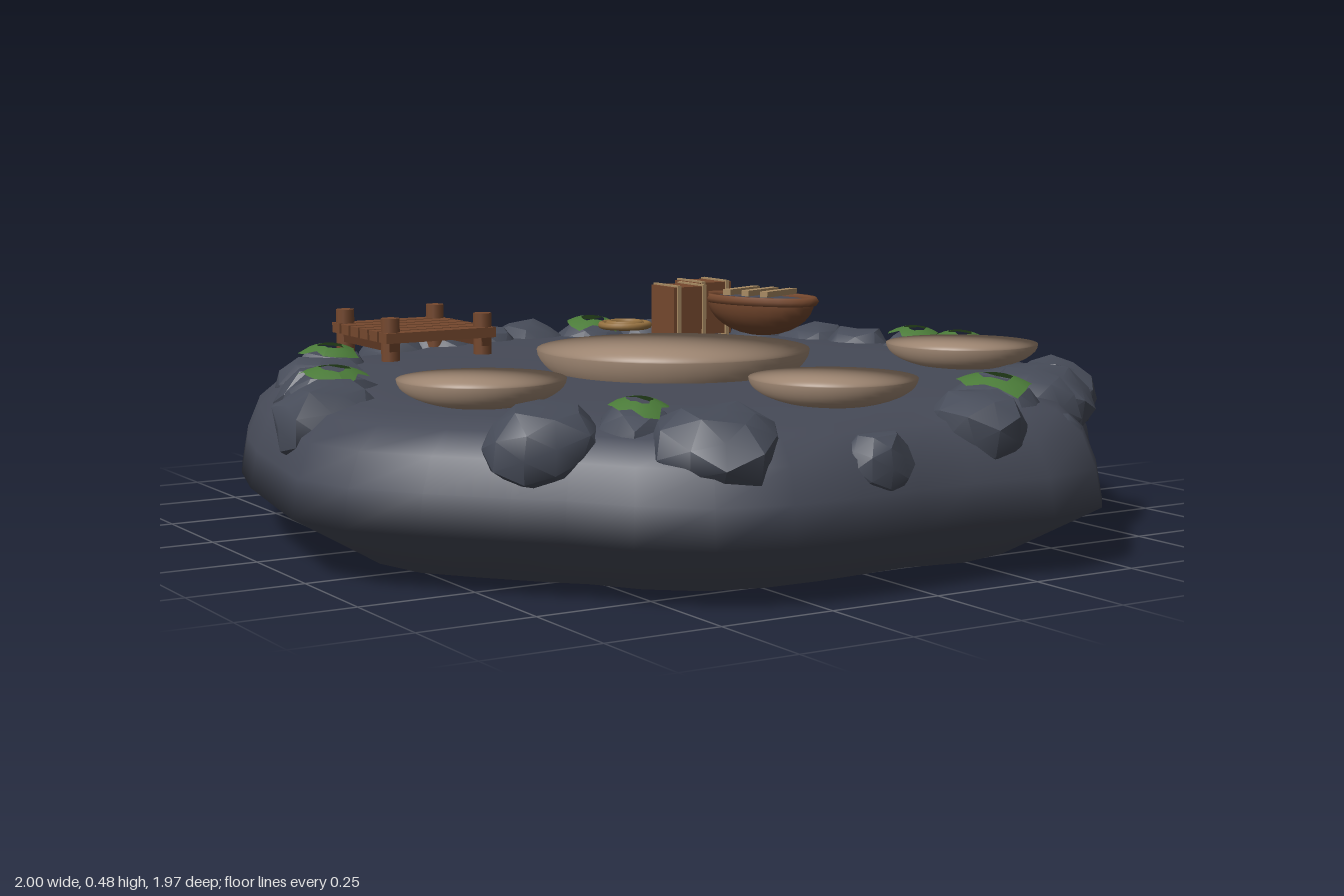
import * as THREE from 'three';
import { mergeVertices, toCreasedNormals } from 'three/addons/utils/BufferGeometryUtils.js';

const mat = (name, color, side = THREE.FrontSide) => {
  const m = new THREE.MeshStandardMaterial({ color, side });
  m.name = name;
  return m;
};

// Island outline as x, z pairs, clockwise from the back
const OUTLINE = [
  0, -0.99, 0.16, -0.94, 0.36, -0.85, 0.53, -0.76, 0.7, -0.71, 0.84, -0.58, 0.88, -0.4, 0.92, -0.18,
  0.98, 0, 1, 0.17, 0.95, 0.33, 0.86, 0.47, 0.74, 0.6, 0.62, 0.74, 0.55, 0.85, 0.47, 0.94,
  0.31, 0.98, 0.14, 0.95, 0, 0.96, -0.15, 0.97, -0.31, 0.965, -0.46, 0.92, -0.58, 0.82, -0.66, 0.7,
  -0.74, 0.62, -0.86, 0.48, -0.96, 0.35, -1, 0.19, -0.97, 0.02, -0.93, -0.2, -0.87, -0.4, -0.8, -0.57,
  -0.71, -0.69, -0.56, -0.76, -0.4, -0.79, -0.28, -0.88, -0.14, -0.96,
];

// Rim boulders: x, z, radius, mossy
const ROCKS = [
  [-0.2, -0.76, 0.1, 1], [-0.06, -0.79, 0.1, 0], [0.08, -0.81, 0.11, 0], [0.23, -0.75, 0.1, 1],
  [0.38, -0.74, 0.1, 0], [0.49, -0.64, 0.09, 0], [0.61, -0.53, 0.1, 1], [0.69, -0.4, 0.1, 0],
  [0.72, -0.27, 0.09, 0], [0.79, -0.12, 0.09, 1], [0.82, 0.02, 0.09, 1], [0.71, 0.49, 0.09, 0],
  [0.6, 0.56, 0.12, 0], [0.5, 0.66, 0.1, 0], [0.35, 0.73, 0.11, 1], [0.22, 0.84, 0.1, 0],
  [-0.37, 0.78, 0.13, 0], [-0.47, 0.65, 0.09, 1], [-0.63, 0.57, 0.12, 0], [-0.85, 0.04, 0.11, 0],
  [-0.77, -0.12, 0.1, 1], [-0.74, -0.25, 0.09, 0], [-0.68, -0.39, 0.1, 0], [-0.6, -0.52, 0.09, 1],
  [-0.31, -0.79, 0.09, 0],
];

// Stack of scaled outlines; each level is [y, scale]
function islandGeometry(levels) {
  const n = OUTLINE.length / 2, pos = [], idx = [];
  for (const [y, s] of levels)
    for (let i = 0; i < n; i++) pos.push(OUTLINE[2 * i] * s, y, OUTLINE[2 * i + 1] * s);
  for (let l = 0; l < levels.length - 1; l++)
    for (let i = 0; i < n; i++) {
      const j = (i + 1) % n, a = l * n, b = a + n;
      idx.push(a + i, b + i, a + j, a + j, b + i, b + j);
    }
  const g = new THREE.BufferGeometry();
  g.setAttribute('position', new THREE.Float32BufferAttribute(pos, 3));
  g.setIndex(idx);
  g.computeVertexNormals();
  return g;
}

// Lumpy boulder with a few hard edges
function rockGeometry(seed) {
  const src = new THREE.IcosahedronGeometry(1, 1);
  src.deleteAttribute('uv');
  src.deleteAttribute('normal');
  const g = mergeVertices(src, 1e-3), p = g.attributes.position;
  for (let i = 0; i < p.count; i++) {
    const h = Math.sin(seed * 12.9 + i * 78.2) * 43758.5;
    const k = 0.93 + 0.2 * (h - Math.floor(h));
    p.setXYZ(i, p.getX(i) * k, Math.min(p.getY(i) * k, 0.92), p.getZ(i) * k);
  }
  return toCreasedNormals(g, 0.6);
}

// Ragged ring of moss draped over a unit boulder
function mossGeometry(seed) {
  const g = new THREE.RingGeometry(0.3, 0.66, 14, 2);
  g.rotateX(-Math.PI / 2);
  const p = g.attributes.position;
  for (let i = 0; i < p.count; i++) {
    const x = p.getX(i), z = p.getZ(i), a = Math.atan2(z, x);
    const k = 1 + 0.13 * Math.sin(3 * a + seed) + 0.12 * Math.sin(5 * a + seed * 2);
    const r2 = (x * x + z * z) * k * k;
    p.setXYZ(i, x * k, 1.1 * Math.sqrt(Math.max(0, 1 - r2 * 0.75)), z * k);
  }
  g.computeVertexNormals();
  return g;
}

// Sand pad: flat on top, rounded below, with soft pillow normals
function padGeometry(r) {
  const g = new THREE.SphereGeometry(r, 40, 24), p = g.attributes.position;
  for (let i = 0; i < p.count; i++) p.setY(i, p.getY(i) > 0 ? 0 : p.getY(i) * 0.35);
  return g;
}

export function createModel() {
  const M = {
    slate: mat('slate', 0x464a57),
    rock: mat('rock', 0x474c59),
    sand: mat('sand', 0x9e8672),
    moss: mat('moss green', 0x4a7a38, THREE.DoubleSide),
    wood: mat('brown wood', 0x75482e),
    darkWood: mat('dark wood', 0x5c3722),
    pale: mat('pale wood', 0xa88a62),
    rope: mat('rope', 0x94703f),
  };
  const root = new THREE.Group();
  root.name = 'rockyIsland';
  const group = (name, x = 0, y = 0, z = 0) => {
    const g = new THREE.Group();
    g.name = name;
    g.position.set(x, y, z);
    root.add(g);
    return g;
  };
  const add = (parent, name, geo, m, x = 0, y = 0, z = 0) => {
    const mesh = new THREE.Mesh(geo, m);
    mesh.name = name;
    mesh.position.set(x, y, z);
    parent.add(mesh);
    return mesh;
  };

  // Island body and underside
  add(root, 'islandBody', islandGeometry([
    [0, 0.79], [0.12, 1], [0.2, 0.985], [0.27, 0.955], [0.315, 0.9], [0.335, 0.82], [0.342, 0.6], [0.345, 0],
  ]), M.slate);
  add(root, 'islandUnderside', islandGeometry([[0, 0], [0, 0.79]]), M.slate);

  // Rim boulders with moss
  const rim = group('rimRocks');
  ROCKS.forEach(([x, z, r, mossy], i) => {
    const g = new THREE.Group();
    g.name = 'rimRock';
    g.position.set(x, 0.285, z);
    g.rotation.y = Math.atan2(x, z);
    g.rotation.x = 0.12;
    g.scale.set(r, 0.09, r * 1.08);
    add(g, 'boulder', rockGeometry(i + 1), M.rock);
    if (mossy) add(g, 'mossPatch', mossGeometry(i), M.moss);
    rim.add(g);
  });
  // Low boulders half sunk in the front slope
  [[-0.08, 0.9, 0.08, 0.25], [0.42, 0.84, 0.07, 0.24]].forEach(([x, z, r, y], i) =>
    add(rim, 'sunkenRock', rockGeometry(i + 40), M.rock, x, y, z).scale.set(r, 0.07, r * 0.7));

  // Round sand pads
  for (const [x, z, r] of [[0, 0.025, 0.308], [-0.62, 0.285, 0.174], [0.62, 0.285, 0.174], [0, 0.645, 0.174]])
    add(root, 'sandPad', padGeometry(r), M.sand, x, 0.39, z);

  // Log jetty
  const dock = group('jetty', -0.352, 0, -0.588);
  for (let i = 0; i < 6; i++)
    add(dock, 'plank', new THREE.BoxGeometry(0.285, 0.024, 0.042), M.wood, 0, 0.395, -0.132 + i * 0.053);
  for (const x of [-0.12, 0.12]) {
    add(dock, 'beam', new THREE.BoxGeometry(0.025, 0.022, 0.3), M.darkWood, x, 0.374, 0);
    for (const [z, low] of [[-0.127, 0.2], [0.127, 0.32]])
      add(dock, 'post', new THREE.CylinderGeometry(0.022, 0.022, 0.44 - low, 10), M.wood, x, (0.44 + low) / 2, z);
  }

  // Banded crates
  for (const [x, z] of [[0.32, -0.46], [0.44, -0.54]]) {
    const crate = group('crate', x, 0.415, z);
    add(crate, 'crateBox', new THREE.BoxGeometry(0.1, 0.13, 0.108), M.wood);
    for (const s of [-1, 1])
      add(crate, 'crateBand', new THREE.BoxGeometry(0.01, 0.138, 0.118), M.pale, s * 0.036, 0, 0);
  }

  // Rope coil
  const coil = group('ropeCoil', 0.185, 0.385, -0.5);
  for (const [r, y] of [[0.058, 0], [0.039, 0.003]])
    add(coil, 'ropeLoop', new THREE.TorusGeometry(r, 0.009, 8, 28), M.rope, 0, y, 0).rotation.x = Math.PI / 2;

  // Rowing boat: hull, floor, gunwale and benches
  const boat = group('boat', 0.468, 0.45, -0.322);
  boat.rotation.y = 0.38;
  add(boat, 'hull', new THREE.SphereGeometry(1, 24, 8, 0, Math.PI * 2, Math.PI / 2, Math.PI / 2), M.wood)
    .scale.set(0.082, 0.09, 0.152);
  const floor = add(boat, 'boatInside', new THREE.CircleGeometry(1, 24), M.slate, 0, 0.002, 0);
  floor.rotation.x = -Math.PI / 2;
  floor.scale.set(0.08, 0.15, 1);
  const rail = add(boat, 'gunwale', new THREE.TorusGeometry(1, 0.1, 6, 28), M.wood);
  rail.rotation.x = Math.PI / 2;
  rail.scale.set(0.08, 0.15, 0.12);
  for (const z of [-0.055, 0, 0.055])
    add(boat, 'bench', new THREE.BoxGeometry(0.13, 0.014, 0.022), M.pale, 0, 0.018, z);

  return root;
}
